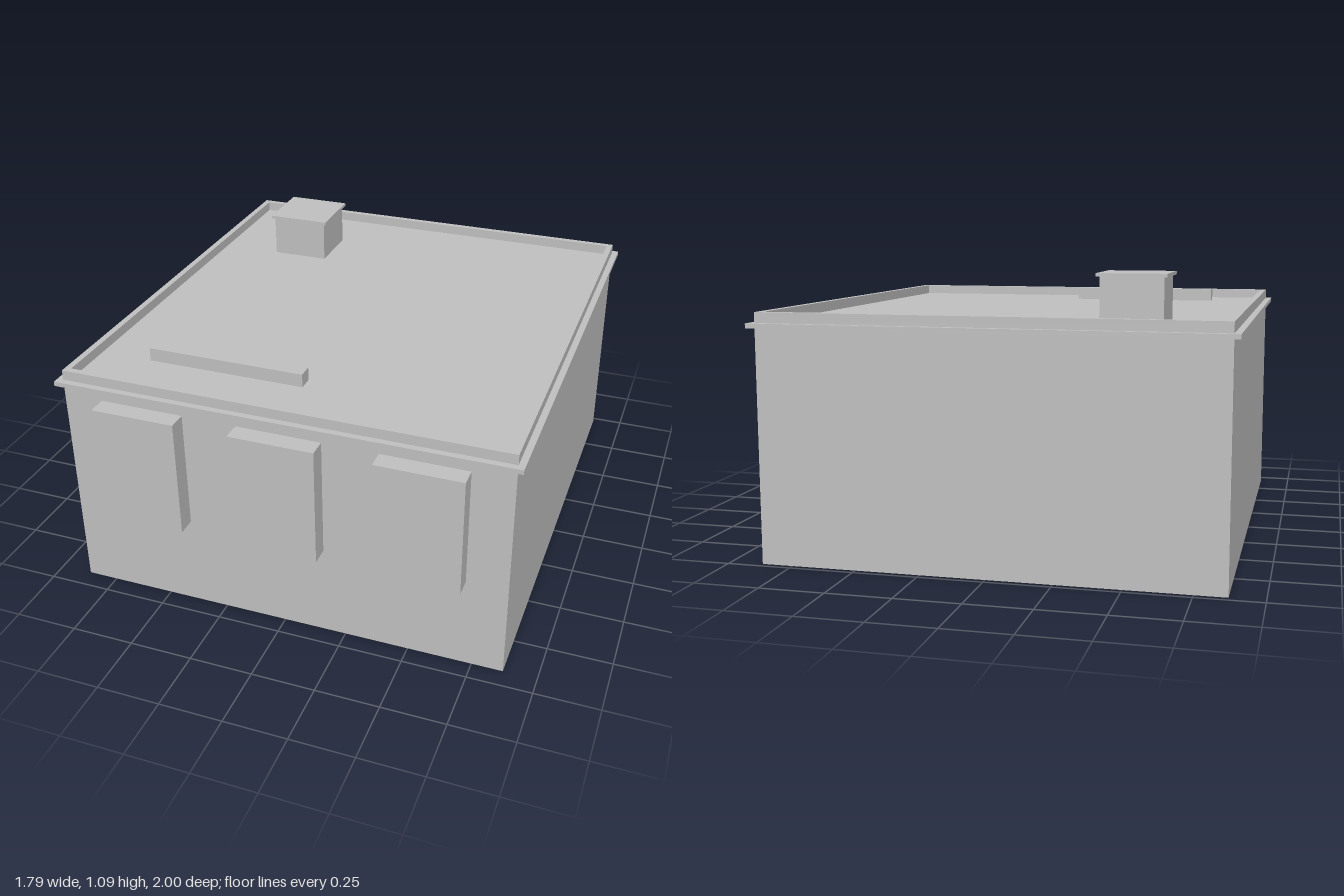
import * as THREE from 'three';

const CENTRE_Z = -0.025;
const ROOF_Y = 0.91;

// Open rectangular shell through a list of [half width, height] rings
function ringShell(rings) {
  const corners = ([h, y]) => [[-1, 1], [1, 1], [1, -1], [-1, -1]]
    .map(([sx, sz]) => [sx * h, y, CENTRE_Z + sz * (h + 0.079)]);
  const positions = [];
  for (let i = 0; i < rings.length - 1; i++) {
    const low = corners(rings[i]);
    const high = corners(rings[i + 1]);
    for (let k = 0; k < 4; k++) {
      const n = (k + 1) % 4;
      positions.push(...low[k], ...low[n], ...high[n], ...low[k], ...high[n], ...high[k]);
    }
  }
  const geometry = new THREE.BufferGeometry();
  geometry.setAttribute('position', new THREE.Float32BufferAttribute(positions, 3));
  geometry.computeVertexNormals();
  return geometry;
}

// Box given by its lower and upper limits
function boxBetween(x0, x1, y0, y1, z0, z1) {
  return new THREE.BoxGeometry(x1 - x0, y1 - y0, z1 - z0)
    .translate((x0 + x1) / 2, (y0 + y1) / 2, (z0 + z1) / 2);
}

export function createModel() {
  const model = new THREE.Group();
  model.name = 'flatRoofBuilding';
  const grey = new THREE.MeshStandardMaterial({ color: 0xc0c0c0, side: THREE.DoubleSide });
  grey.name = 'plain grey';

  const add = (name, geometry) => {
    const mesh = new THREE.Mesh(geometry, grey);
    mesh.name = name;
    model.add(mesh);
  };

  // Thin shell, open underneath
  add('walls', ringShell([[0.871, 0], [0.871, 0.892]]));
  add('cornice', ringShell([[0.871, 0.892], [0.896, 0.892], [0.896, 0.91], [0.871, 0.91]]));
  add('parapet', ringShell([[0.871, 0.91], [0.871, 0.95], [0.846, 0.95], [0.846, ROOF_Y]]));
  add('roof', new THREE.PlaneGeometry(1.692, 1.85).rotateX(-Math.PI / 2)
    .translate(0, ROOF_Y, CENTRE_Z));

  // Raised window blocks across the front
  for (const x of [-0.547, 0, 0.547]) {
    add('windowBlock', boxBetween(x - 0.166, x + 0.166, 0.377, 0.85, 0.926, 1));
  }

  // Roof fittings
  add('roofBar', boxBetween(-0.635, -0.003, ROOF_Y + 0.001, 0.964, 0.62, 0.68));
  add('chimney', boxBetween(-0.597, -0.36, ROOF_Y + 0.001, 1.08, -0.698, -0.462));
  add('chimneyCap', boxBetween(-0.609, -0.348, 1.08, 1.093, -0.71, -0.45));

  return model;
}
